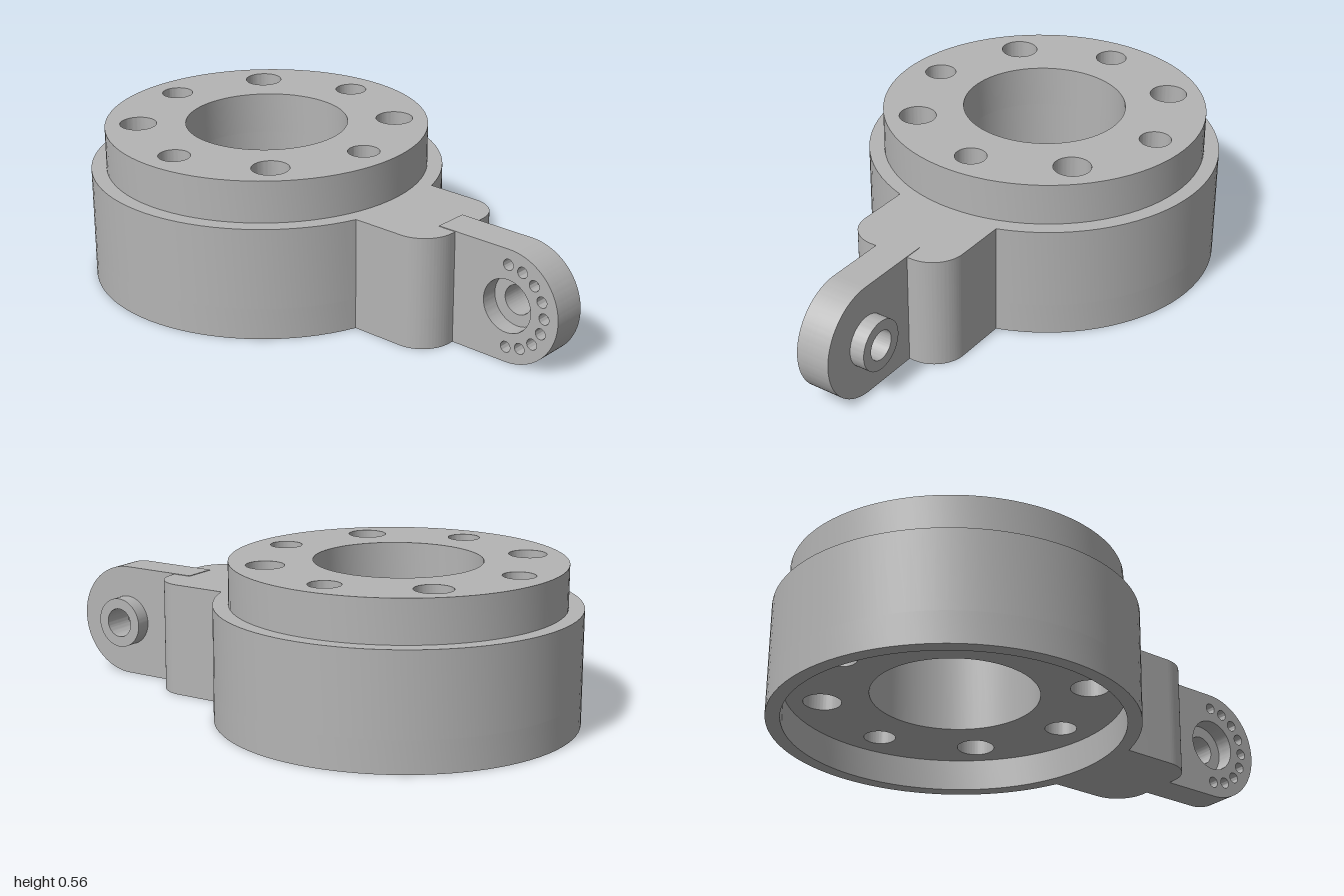
import * as THREE from 'three';
import { toCreasedNormals } from 'three/addons/utils/BufferGeometryUtils.js';

const CX = -0.357;                  // axis of the ring body
const PX = 0.793, PY = 0.207;       // pivot of the side lug
const R = 0.643, BLOCK = 0.205, FILLET = 0.12, BLOCK_END = 0.57;

function circle(x, y, r) {
  return new THREE.Shape().absarc(x, y, r, 0, Math.PI * 2, false);
}

function extrude(shape, holes, from, to) {
  shape.holes = holes;
  const g = new THREE.ExtrudeGeometry(shape, { depth: to - from, bevelEnabled: false, curveSegments: 40 });
  g.translate(0, 0, from);
  return toCreasedNormals(g, 0.5);
}

export function createModel() {
  const model = new THREE.Group();
  const metal = new THREE.MeshStandardMaterial({ color: 0xb4b4b4 });
  metal.name = 'grey metal';

  const add = (name, geometry) => {
    const mesh = new THREE.Mesh(geometry, metal);
    mesh.name = name;
    model.add(mesh);
  };
  const addUpright = (name, shape, holes, from, to) =>
    add(name, extrude(shape, holes, from, to).rotateX(-Math.PI / 2));

  // Ring outline merged with the rounded block that carries the lug
  const outline = () => {
    const a = Math.asin(BLOCK / R), fx = BLOCK_END - FILLET, fy = BLOCK - FILLET;
    const s = new THREE.Shape();
    s.absarc(CX, 0, R, a, Math.PI * 2 - a, false);
    s.lineTo(fx, -BLOCK);
    s.absarc(fx, -fy, FILLET, -Math.PI / 2, 0, false);
    s.absarc(fx, fy, FILLET, 0, Math.PI / 2, false);
    s.closePath();
    return s;
  };

  // Central bore and eight bolt holes, the diagonal ones slightly larger
  const bores = () => {
    const holes = [circle(CX, 0, 0.295)];
    for (let i = 0; i < 8; i++) {
      const t = i * Math.PI / 4;
      holes.push(circle(CX + 0.467 * Math.cos(t), 0.467 * Math.sin(t), i % 2 ? 0.067 : 0.057));
    }
    return holes;
  };

  addUpright('recessedBase', outline(), [circle(CX, 0, 0.592)], 0, 0.115);
  addUpright('ringBody', outline(), bores(), 0.115, 0.412);
  addUpright('raisedFlange', circle(CX, 0, 0.588), bores(), 0.412, 0.565);

  // Lug outline with a round end
  const lug = () => {
    const s = new THREE.Shape();
    s.moveTo(0.5, 0);
    s.lineTo(PX, 0);
    s.absarc(PX, PY, PY, -Math.PI / 2, Math.PI / 2, false);
    s.lineTo(0.5, PY * 2);
    s.closePath();
    return s;
  };
  const counterbore = () => circle(PX, PY, 0.097);
  const pivotHole = () => circle(PX, PY, 0.054);

  // Arc of small blind index holes
  const indexHoles = [];
  for (let i = 0; i < 9; i++) {
    const t = -Math.PI / 2 + i * Math.PI / 8;
    indexHoles.push(circle(PX + 0.151 * Math.cos(t), PY + 0.151 * Math.sin(t), 0.02));
  }

  // Lug in layers: index holes, counterbore, pivot hole, rear boss
  add('lugFront', extrude(lug(), [counterbore(), ...indexHoles], 0.02, 0.064));
  add('lugMiddle', extrude(lug(), [counterbore()], 0, 0.02));
  add('lugBack', extrude(lug(), [pivotHole()], -0.064, 0));
  add('pivotBoss', extrude(circle(PX, PY, 0.093), [pivotHole()], -0.12, -0.064));

  return model;
}
